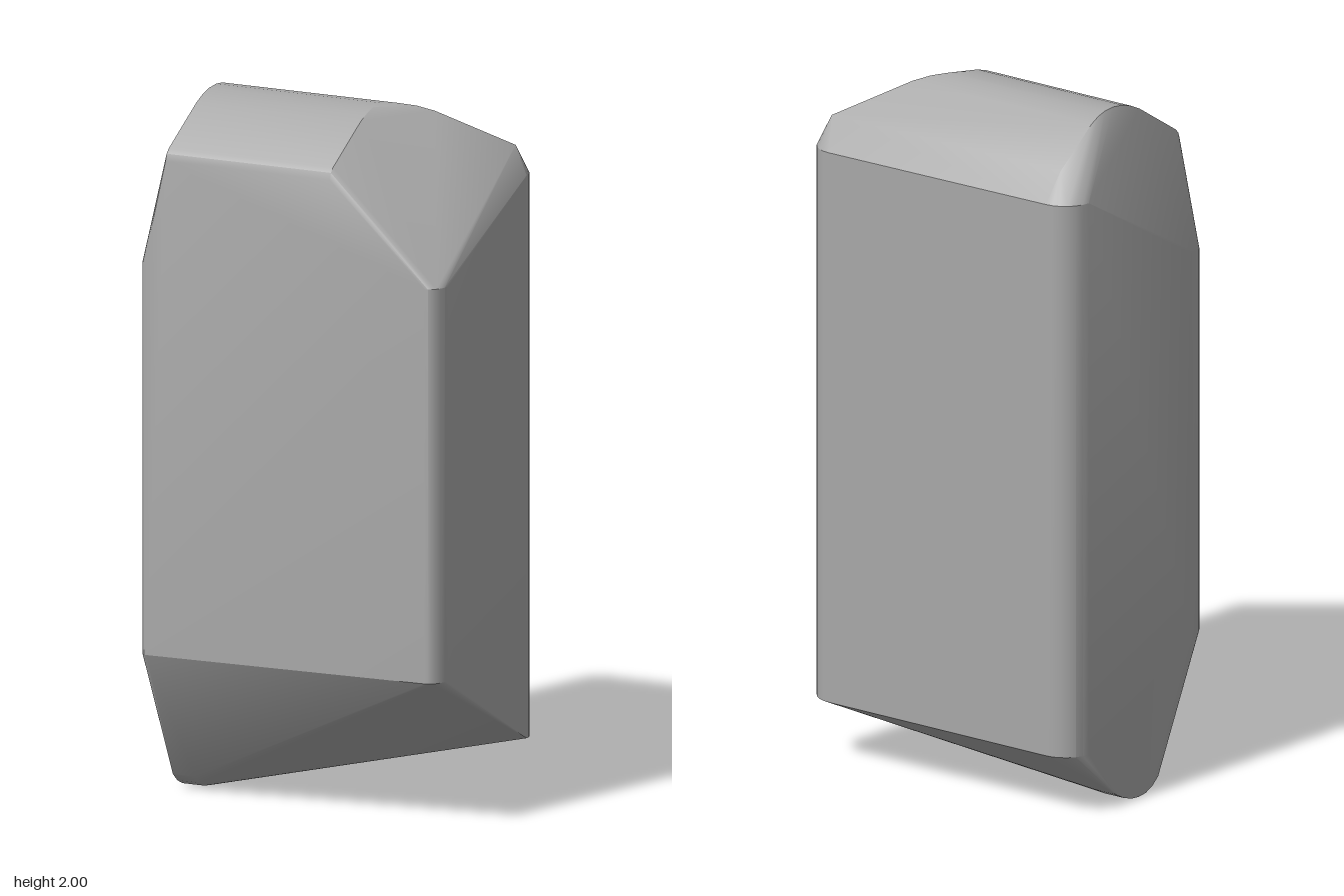
import * as THREE from 'three';
import { ConvexGeometry } from 'three/addons/geometries/ConvexGeometry.js';
import { toCreasedNormals } from 'three/addons/utils/BufferGeometryUtils.js';

export function createModel() {
  const stone = new THREE.MeshStandardMaterial({ color: 0xa8a8a8 });
  stone.name = 'stone grey';

  const turn = 0.084;        // the block is turned slightly about its upright axis
  const halfW = 0.477;
  const halfD = 0.298;
  const points = [];
  const add = (u, y, v) => points.push(new THREE.Vector3(
    u * Math.cos(turn) - v * Math.sin(turn), y,
    u * Math.sin(turn) + v * Math.cos(turn)));

  // Upright corners: side signs, rounding in width and depth, bottom and top heights
  const corners = [
    { su: -1, sv: 1, rw: 0.03, rd: 0.06, low: 0.42, high: 1.535 },
    { su: 1, sv: 1, rw: 0.04, rd: 0.065, low: 0.43, high: 1.555 },
    { su: 1, sv: -1, rw: 0.085, rd: 0.075, low: 0.18, high: 1.785 },
    { su: -1, sv: -1, rw: 0.085, rd: 0.085, low: 0.18, high: 1.79 },
  ];
  const steps = 6;
  for (const { su, sv, rw, rd, low, high } of corners) {
    for (let i = 0; i <= steps; i++) {
      const a = (i / steps) * Math.PI / 2;
      const u = su * (halfW - rw + rw * Math.cos(a));
      const v = sv * (halfD - rd + rd * Math.sin(a));
      add(u, low, v);
      add(u, high, v);
    }
  }

  // Rounded roof, cut off at both ends: [depth, height]
  const roof = [
    [0.298, 1.835], [0.292, 1.855], [0.28, 1.868],
    [0.12, 1.968], [0.085, 1.984], [0.045, 1.996], [0.005, 2],
    [-0.03, 1.997], [-0.06, 1.988], [-0.09, 1.972],
    [-0.225, 1.868],
  ];
  for (const [v, y] of roof) {
    add(-0.385, y, v);
    // behind the ridge the right end runs out to the back corner
    add(v >= 0 ? 0.137 : 0.137 - v * 1.35, y, v);
  }

  // Rounded lowest tip, on the right-hand side of the block
  const tip = [[0.1, 0.04], [0.075, 0.018], [0.045, 0.004], [0.015, 0],
    [-0.015, 0.002], [-0.05, 0.012], [-0.085, 0.03]];
  for (const [v, y] of tip) {
    add(-0.47, y, v);
    add(-0.40, y + 0.002 * Math.abs(v), v);
  }

  const geometry = toCreasedNormals(new ConvexGeometry(points), 0.42);
  const block = new THREE.Mesh(geometry, stone);
  block.name = 'stoneBlock';

  const group = new THREE.Group();
  group.name = 'facetedStone';
  group.add(block);
  return group;
}
